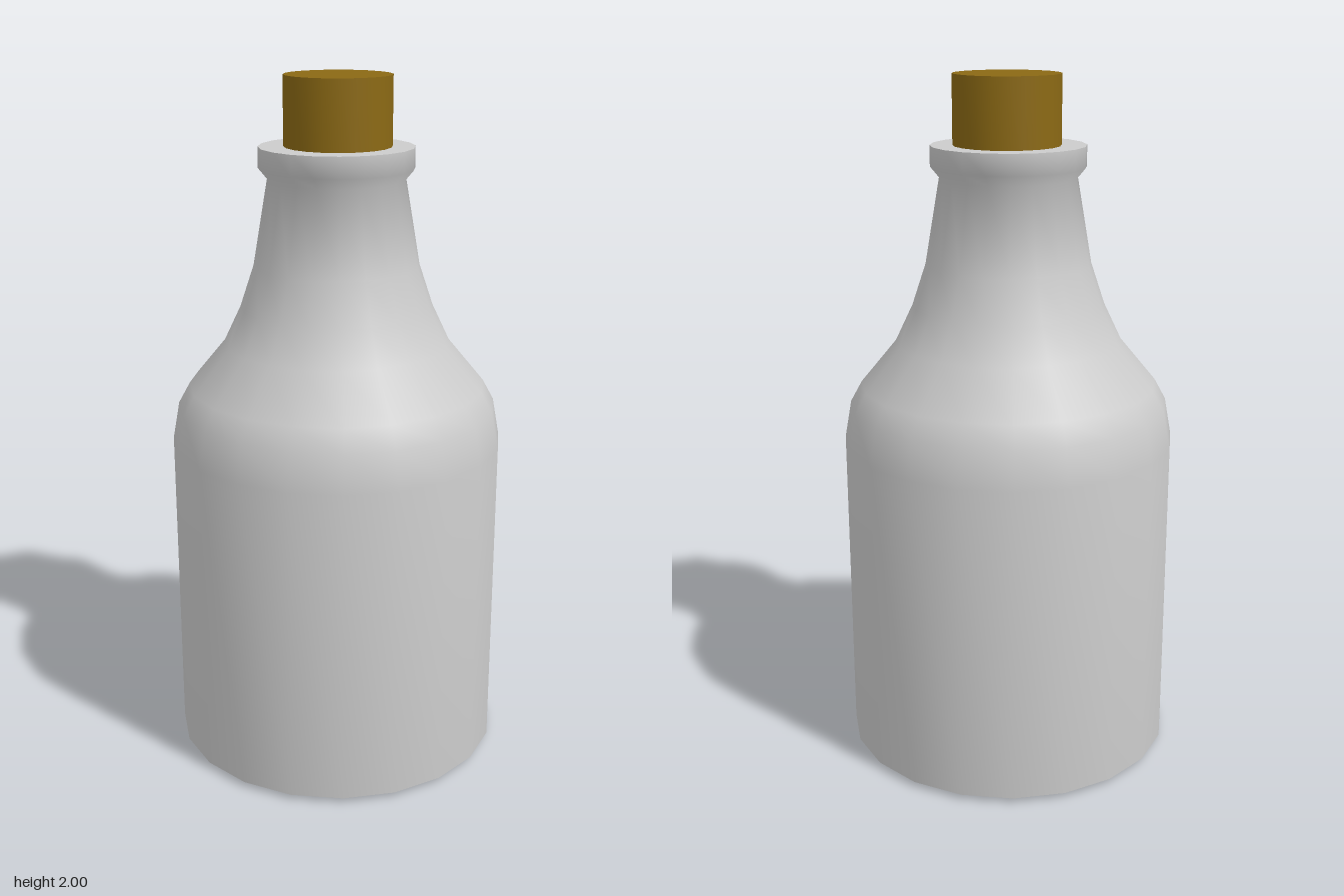
import * as THREE from 'three';
import { toCreasedNormals } from 'three/addons/utils/BufferGeometryUtils.js';

const SIDES = 20;

// Revolve a [radius, height] profile, keeping sharp rims and smooth walls
function turned(name, profile, color) {
  const points = profile.map(([r, y]) => new THREE.Vector2(r, y));
  const geometry = toCreasedNormals(new THREE.LatheGeometry(points, SIDES), 1.1);
  const mesh = new THREE.Mesh(geometry, new THREE.MeshStandardMaterial({ color }));
  mesh.name = name;
  return mesh;
}

export function createModel() {
  const group = new THREE.Group();
  group.name = 'corkedBottle';

  // Bottle: slightly domed base, straight wall, sloping shoulder, neck and lip
  group.add(turned('bottle', [
    [0, 0], [0.485, 0.015],
    [0.485, 0.95], [0.465, 1.06], [0.432, 1.12],
    [0.328, 1.245], [0.278, 1.35], [0.238, 1.47],
    [0.196, 1.715], [0.221, 1.745], [0.221, 1.805], [0, 1.805],
  ], 0xcccccc));

  // Cork, seated in the neck
  const cork = turned('cork', [
    [0, 1.7], [0.153, 1.7], [0.153, 2], [0, 2],
  ], 0x8b6914);
  cork.position.z = -0.005;
  group.add(cork);

  return group;
}
